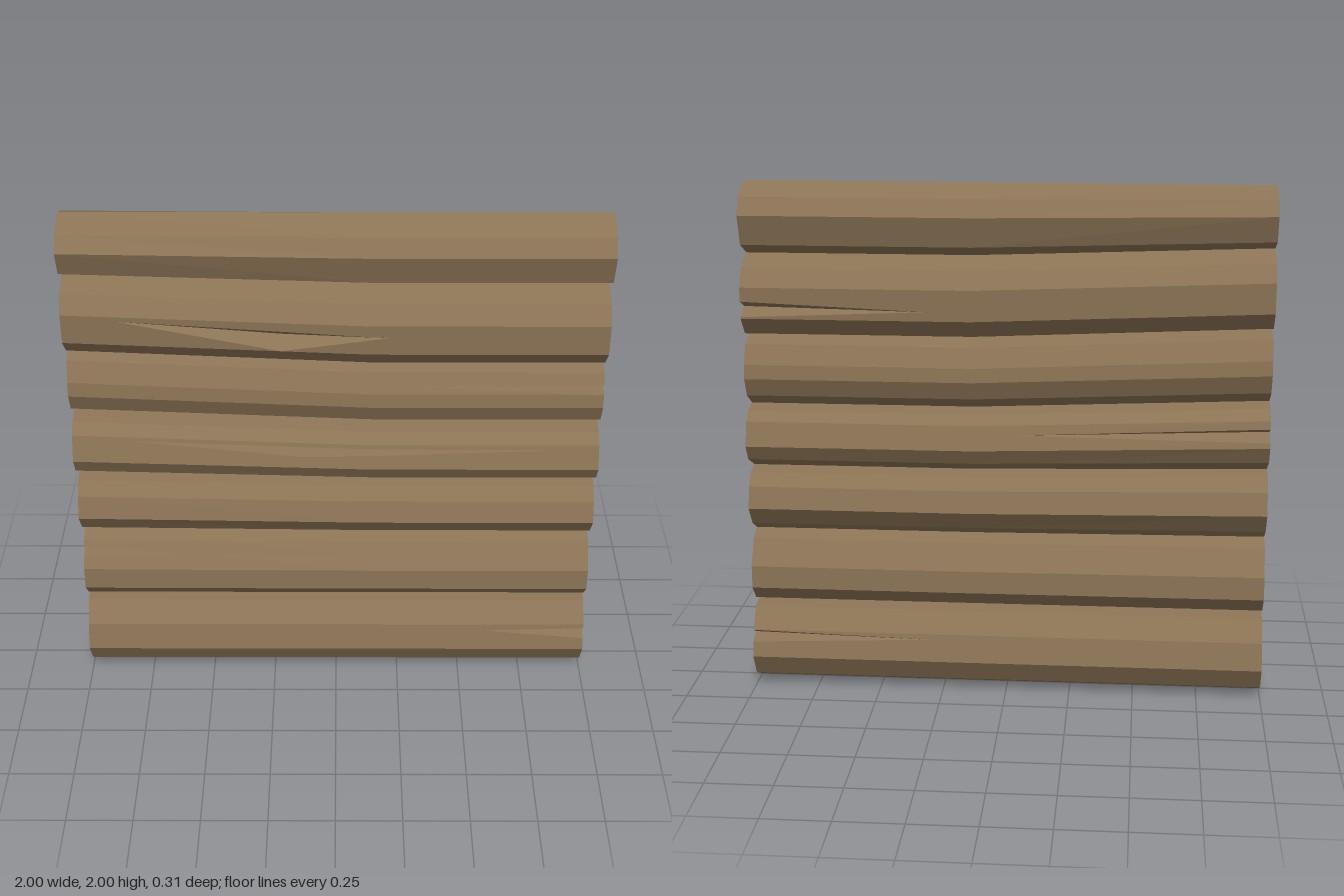
import * as THREE from 'three';

const wood = new THREE.MeshStandardMaterial({ color: 0x8b7355, side: THREE.DoubleSide });
wood.name = 'weathered wood';

const { lerp, clamp } = THREE.MathUtils;
const BEND = 0.13; // logs sag from x = -1 to here, then run level

// Seam heights between logs, top to bottom, and how much higher each is at the left end
const SEAMS = [2, 1.725, 1.41, 1.135, 0.885, 0.625, 0.33, 0];
const SAG = [0, 0.04, 0.05, 0.045, 0.025, 0.01, 0, 0];

// Corners of each log between its two seams: [half depth, fraction of the way down]
const CORNERS = [
  [[0.105, 0.18], [0.14, 0.42], [0.1, 0.84]],
  [[0.105, 0.13], [0.145, 0.35], [0.14, 0.73], [0.075, 0.95]],
  [[0.08, 0.09], [0.115, 0.36], [0.12, 0.56], [0.085, 0.82]],
  [[0.075, 0.05], [0.115, 0.19], [0.143, 0.56], [0.105, 0.8]],
  [[0.07, 0.05], [0.11, 0.23], [0.133, 0.55], [0.075, 0.84]],
  [[0.065, 0.08], [0.12, 0.42], [0.12, 0.72], [0.06, 0.93]],
  [[0.07, 0.03], [0.13, 0.27], [0.155, 0.59], [0.1, 0.86]],
];

// Splits in the wood: profile segment, x range and widest x, then the upper lip at
// both ends and the widest lower lip as fractions of that segment
const CRACKS = {
  front2: { seg: 2, from: -0.8, wide: -0.2, to: 0.2, top0: 0.15, top1: 0.4, bottom: 1, depth: 0.06 },
  back2: { seg: 2, from: 0.3, wide: 1, to: 1, top0: 0.7, top1: 0.45, bottom: 0.95, depth: 0.07 },
  front3: { seg: 1, from: 0.3, wide: 1, to: 1, top0: 0.65, top1: 0.6, bottom: 1, depth: 0.06 },
  front4: { seg: 2, from: -0.77, wide: -0.15, to: 0.86, top0: 0.15, top1: 0.2, bottom: 0.55, depth: 0.065 },
  back4: { seg: 2, from: -1, wide: -1, to: -0.05, top0: 0.3, top1: 0.4, bottom: 0.8, depth: 0.07 },
  front6: { seg: 1, from: -1, wide: -1, to: -0.6, top0: 0.25, top1: 0.45, bottom: 0.6, depth: 0.055 },
  front7: { seg: 2, from: 0.6, wide: 1, to: 1, top0: 0.25, top1: 0.15, bottom: 0.55, depth: 0.05 },
  back7: { seg: 2, from: 0.3, wide: 1, to: 1, top0: 0.2, top1: 0.02, bottom: 0.45, depth: 0.05 },
};

const seamY = (i, x) => SEAMS[i] + SAG[i] * clamp((BEND - x) / (BEND + 1), 0, 1);

// How far a crack is open at x, from 0 at its tips to 1 at its widest
function openness({ from, wide, to }, x) {
  if (x === wide) return 1;
  return clamp(x < wide ? (x - from) / (wide - from) : (to - x) / (to - wide), 0, 1);
}

// Half cross-section [z, y] of a log at x; a crack adds two lips and a root
function section(i, crack, x) {
  const top = seamY(i, x), bottom = seamY(i + 1, x);
  const pts = [[0, 0], ...CORNERS[i], [0, 1]].map(([z, f]) => [z, lerp(top, bottom, f)]);
  if (!crack) return pts;
  const a = pts[crack.seg], b = pts[crack.seg + 1];
  const open = openness(crack, x);
  const upper = lerp(crack.top0, crack.top1, clamp((x - crack.from) / (crack.to - crack.from), 0, 1));
  const lower = lerp(upper, crack.bottom, open);
  const on = (t, inset) => [lerp(a[0], b[0], t) - inset, lerp(a[1], b[1], t)];
  pts.splice(crack.seg + 1, 0, on(upper, 0), on((upper + lower) / 2, crack.depth * open), on(lower, 0));
  return pts;
}

// Lofts the front (side 1) or back (side -1) of a log along x, with flat facets
function logSide(i, crack, side) {
  const stops = crack ? [crack.from, crack.wide, crack.to] : [];
  const xs = [...new Set([-1, BEND, 1, ...stops])].sort((p, q) => p - q);
  const rings = xs.map((x) => section(i, crack, x).map(([z, y]) => new THREE.Vector3(x, y, z * side)));
  const points = [];
  const addTriangle = (a, b, c) => {
    // Closed parts of a crack give empty triangles, which are left out
    if (new THREE.Triangle(a, b, c).getArea() < 1e-7) return;
    points.push(...(side > 0 ? [a, b, c] : [a, c, b]));
  };
  for (let k = 0; k < rings.length - 1; k++) {
    for (let r = 0; r < rings[k].length - 1; r++) {
      const a = rings[k][r], b = rings[k][r + 1], c = rings[k + 1][r + 1], d = rings[k + 1][r];
      addTriangle(a, b, c);
      addTriangle(a, c, d);
    }
  }
  const geometry = new THREE.BufferGeometry().setFromPoints(points);
  geometry.computeVertexNormals();
  return geometry;
}

export function createModel() {
  const wall = new THREE.Group();
  wall.name = 'logWall';
  CORNERS.forEach((_, i) => {
    const log = new THREE.Group();
    log.name = `log${i + 1}`;
    for (const [face, side] of [['front', 1], ['back', -1]]) {
      const mesh = new THREE.Mesh(logSide(i, CRACKS[`${face}${i + 1}`], side), wood);
      mesh.name = `${face}OfLog`;
      log.add(mesh);
    }
    wall.add(log);
  });
  return wall;
}
